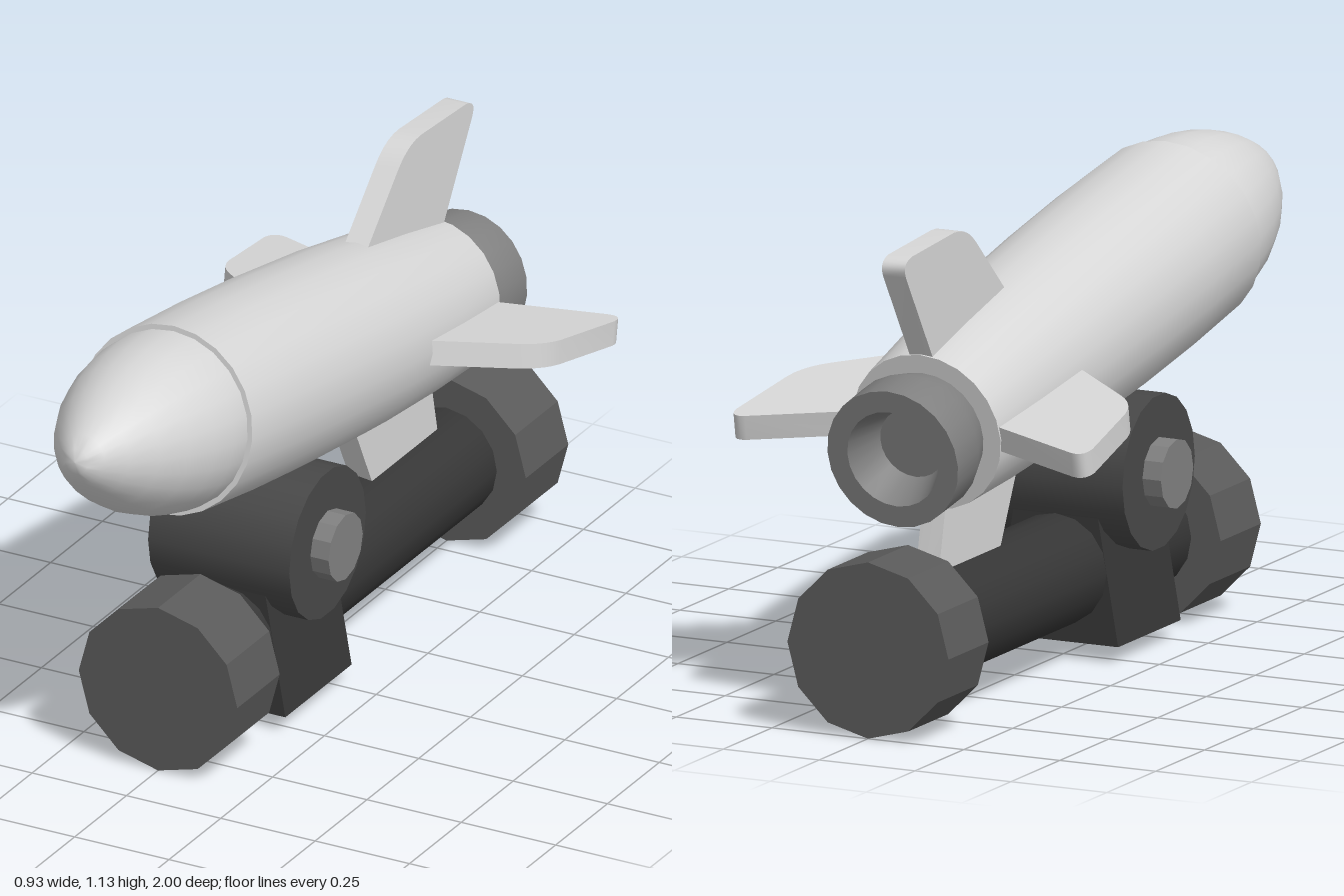
import * as THREE from 'three';
import { toCreasedNormals } from 'three/addons/utils/BufferGeometryUtils.js';

const paint = (name, color) => {
  const m = new THREE.MeshStandardMaterial({ color });
  m.name = name;
  return m;
};

export function createModel() {
  const lightGrey = paint('lightGrey', 0xd6d6d6);
  const midGrey = paint('midGrey', 0x808080);
  const capGrey = paint('capGrey', 0x5a5a5a);
  const drumGrey = paint('drumGrey', 0x484848);
  const darkGrey = paint('darkGrey', 0x363636);

  const model = new THREE.Group();
  model.name = 'rocketOnStand';

  const add = (parent, name, geometry, material) => {
    const mesh = new THREE.Mesh(geometry, material);
    mesh.name = name;
    parent.add(mesh);
    return mesh;
  };
  const crease = (g, angle = 0.55) => toCreasedNormals(g, angle);
  // Turned shape along z from [radius, z] pairs, rear to front
  const turned = (points) =>
    crease(new THREE.LatheGeometry(points.map(([r, s]) => new THREE.Vector2(r, s)), 24).rotateX(Math.PI / 2));

  // Rocket, pitched nose up; its origin is the joint of nose and body
  const rocket = new THREE.Group();
  rocket.name = 'rocket';
  rocket.position.set(0, 0.89, 0.56);
  rocket.rotation.x = THREE.MathUtils.degToRad(-9.9);
  model.add(rocket);

  add(rocket, 'body', turned([
    [0, -1.28], [0.193, -1.28], [0.21, -1.08], [0.225, -0.82], [0.233, -0.5], [0.234, -0.25], [0.229, 0], [0, 0],
  ]), lightGrey);

  add(rocket, 'noseCone', turned([
    [0.217, -0.01], [0.213, 0.06], [0.2, 0.13], [0.176, 0.21], [0.14, 0.29], [0.098, 0.36],
    [0.06, 0.41], [0.03, 0.437], [0, 0.447],
  ]), lightGrey);

  add(rocket, 'engineBell', turned([
    [0, -1.35], [0.085, -1.35], [0.118, -1.455], [0.17, -1.455], [0.171, -1.35], [0.145, -1.27],
  ]), midGrey);

  // Four fins with rounded tips
  const fin = new THREE.Shape();
  fin.moveTo(-0.8, 0.1);
  fin.lineTo(-0.896, 0.214);
  fin.lineTo(-1.015, 0.375);
  fin.quadraticCurveTo(-1.055, 0.43, -1.12, 0.44);
  fin.lineTo(-1.335, 0.464);
  fin.quadraticCurveTo(-1.385, 0.464, -1.372, 0.425);
  fin.lineTo(-1.275, 0.19);
  fin.lineTo(-1.25, 0.1);
  const finGeometry = crease(
    new THREE.ExtrudeGeometry(fin, { depth: 0.06, bevelEnabled: false, curveSegments: 5 })
      .translate(0, 0, -0.03).rotateY(-Math.PI / 2));
  ['topFin', 'rightFin', 'bottomFin', 'leftFin'].forEach((name, i) => {
    add(rocket, name, finGeometry, lightGrey).rotation.z = -i * Math.PI / 2;
  });

  // Lower tube with a twelve-sided cap at each end
  const stand = new THREE.Group();
  stand.name = 'stand';
  model.add(stand);
  const tube = new THREE.CylinderGeometry(0.133, 0.133, 1.4, 16).rotateX(Math.PI / 2);
  add(stand, 'tube', tube, darkGrey).position.set(0, 0.21, -0.2);
  const cap = crease(new THREE.CylinderGeometry(0.21, 0.21, 0.205, 12).rotateX(Math.PI / 2), 0.3);
  add(stand, 'frontCap', cap, capGrey).position.set(0, 0.21, 0.495);
  add(stand, 'rearCap', cap, capGrey).position.set(0, 0.21, -0.8975);

  // Block, narrowing upwards from its foot to the pivot drum
  const block = new THREE.Shape([
    new THREE.Vector2(-0.163, 0.04), new THREE.Vector2(0.163, 0.04),
    new THREE.Vector2(0.1, 0.4), new THREE.Vector2(-0.1, 0.4),
  ]);
  add(stand, 'block', new THREE.ExtrudeGeometry(block, { depth: 0.32, bevelEnabled: false }), darkGrey)
    .position.z = -0.04;

  // Pivot drum and axle, lying across the model
  const drum = new THREE.CylinderGeometry(0.185, 0.185, 0.374, 18).rotateZ(Math.PI / 2);
  add(stand, 'pivotDrum', drum, drumGrey).position.set(0, 0.428, 0.12);
  const axle = crease(new THREE.CylinderGeometry(0.083, 0.083, 0.47, 12).rotateZ(Math.PI / 2), 0.3);
  add(stand, 'axle', axle, midGrey).position.set(0, 0.428, 0.12);

  return model;
}
